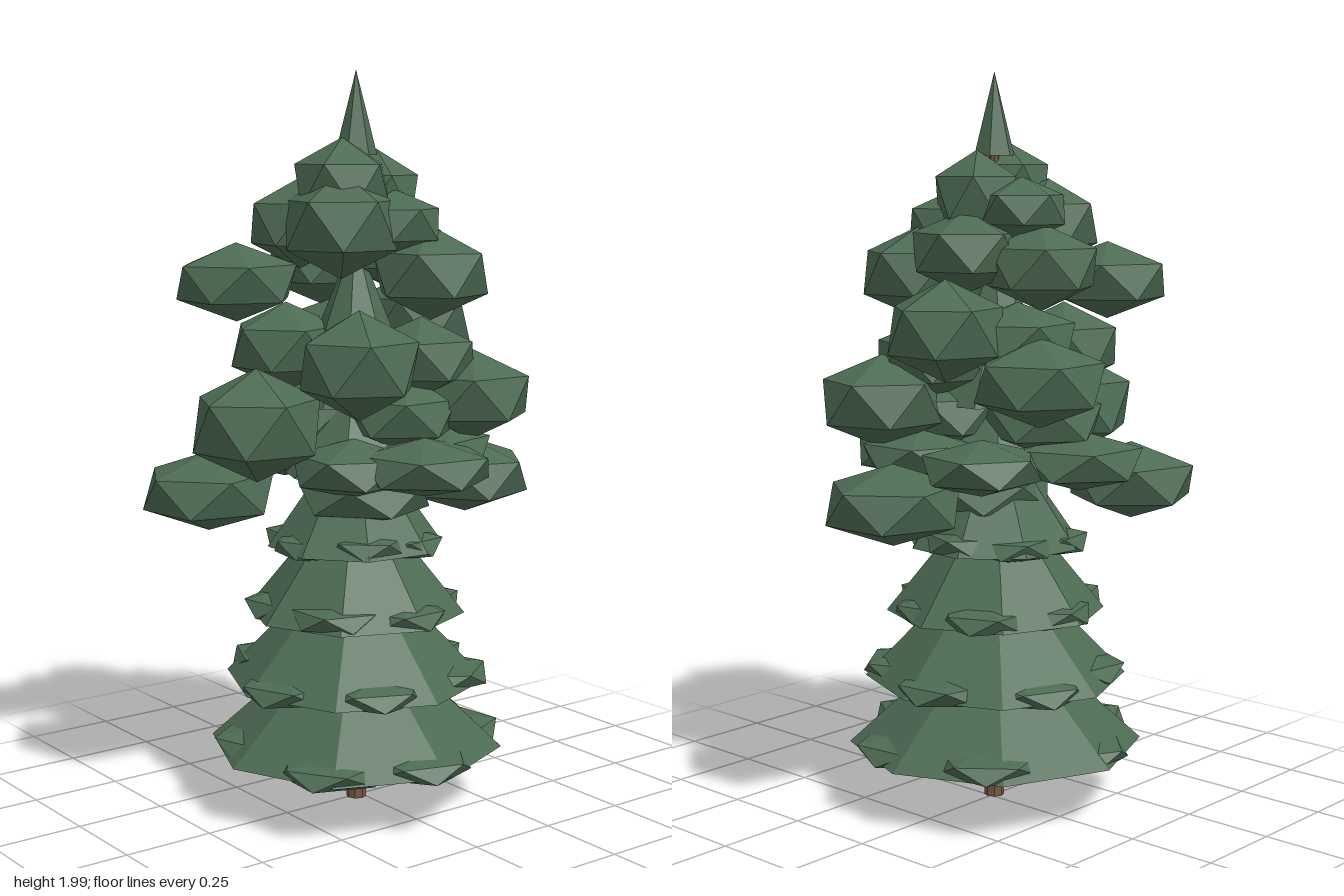
import * as THREE from 'three';

export function createModel() {
  const tree = new THREE.Group();
  tree.name = 'coniferTree';

  const needleGreen = new THREE.MeshStandardMaterial({ color: 0x4d6b53 });
  const barkBrown = new THREE.MeshStandardMaterial({ color: 0x755740 });
  needleGreen.flatShading = true;
  barkBrown.flatShading = true;

  // small seeded random in 0..1
  let seed = 7;
  const rand = () => (seed = (seed * 16807) % 2147483647) / 2147483647;

  const AX = -0.018; // trunk axis

  function add(name, geometry, material, x, y, z, parent = tree) {
    const mesh = new THREE.Mesh(geometry, material);
    mesh.name = name;
    mesh.position.set(x, y, z);
    parent.add(mesh);
    return mesh;
  }

  // twenty-sided clump standing on a corner, flattened vertically
  function clump(name, x, y, z, r, ry, turn, parent = tree) {
    const geo = new THREE.IcosahedronGeometry(1, 0);
    geo.rotateZ(-Math.atan(2 / (1 + Math.sqrt(5))));
    geo.rotateY(turn);
    geo.scale(r, ry, r);
    return add(name, geo, needleGreen, x, y, z, parent);
  }

  // trunk
  add('trunk', new THREE.CylinderGeometry(0.012, 0.028, 1.8, 8), barkBrown, AX, 0.91, 0.005);

  // pointed tip
  add('tip', new THREE.ConeGeometry(0.056, 0.22, 6), needleGreen, AX, 1.89, 0.005);

  // skirt tiers: [rim height, rim radius, cone height, turn, rim clumps, clump radius]
  const tiers = [
    [0.17, 0.405, 0.37, Math.PI, 6, 0.16],
    [0.36, 0.36, 0.37, -Math.PI / 2, 6, 0.15],
    [0.545, 0.3, 0.37, 0.8, 6, 0.135],
    [0.73, 0.24, 0.34, 0.3, 6, 0.125],
    [0.93, 0.2, 0.3, 0, 0, 0],
    [1.12, 0.17, 0.28, 0.4, 0, 0],
    [1.32, 0.1, 0.25, 0.8, 0, 0],
    [1.52, 0.08, 0.25, 1.2, 0, 0],
  ];
  tiers.forEach(([y, r, h, turn, count, size], t) => {
    const tier = new THREE.Group();
    tier.name = 'tier' + (t + 1);
    tree.add(tier);
    add('skirt', new THREE.ConeGeometry(r, h, 8), needleGreen, AX, y + h / 2, 0, tier)
      .rotation.y = turn;
    for (let i = 0; i < count; i++) {
      const a = (i / count) * Math.PI * 2 + t * 0.5 + rand() * 0.2;
      const d = r * 1.02 - size + rand() * 0.025;
      clump('rimClump', AX + Math.sin(a) * d, y + 0.008 + rand() * 0.02, Math.cos(a) * d,
        size, 0.045, rand() * 6, tier);
    }
  });

  // branch clumps: [x, y, z, radius, half height]
  const clumps = [
    // lower ring
    [0.362, 0.885, 0.015, 0.197, 0.108],
    [-0.362, 0.885, -0.2, 0.197, 0.108],
    [0.03, 0.97, 0.24, 0.197, 0.078],
    [-0.09, 0.975, -0.23, 0.195, 0.082],
    [0.18, 0.975, -0.13, 0.175, 0.075],
    [-0.1, 0.96, 0.1, 0.18, 0.08],
    [0.18, 0.99, 0.09, 0.175, 0.07],
    [-0.01, 0.87, 0.03, 0.2, 0.08],
    // middle ring
    [-0.338, 1.085, 0, 0.188, 0.15],
    [0.26, 1.135, 0.155, 0.18, 0.125],
    [0.09, 1.2, -0.25, 0.19, 0.118],
    [-0.125, 1.24, 0.16, 0.175, 0.145],
    [0.22, 1.33, -0.04, 0.17, 0.135],
    [-0.16, 1.27, -0.12, 0.165, 0.12],
    [0.13, 1.24, 0.1, 0.165, 0.11],
    [-0.06, 1.08, -0.13, 0.18, 0.1],
    [0.06, 1.09, 0.1, 0.17, 0.1],
    [0.04, 1.3, -0.13, 0.17, 0.1],
    // upper ring
    [-0.285, 1.445, -0.17, 0.18, 0.105],
    [0.12, 1.47, 0.15, 0.172, 0.125],
    [-0.01, 1.49, -0.17, 0.165, 0.115],
    [0.11, 1.53, -0.01, 0.16, 0.11],
    // crown
    [-0.12, 1.6, 0.075, 0.168, 0.14],
    [-0.14, 1.6, -0.08, 0.15, 0.12],
    [-0.09, 1.7, 0.04, 0.14, 0.125],
    [0.045, 1.67, 0.01, 0.125, 0.125],
    [0, 1.64, -0.11, 0.13, 0.085],
    [0.03, 1.6, 0.11, 0.135, 0.09],
  ];
  clumps.forEach(([x, y, z, r, ry], i) => clump('branchClump', x, y, z, r, ry, i * 0.73));

  return tree;
}
